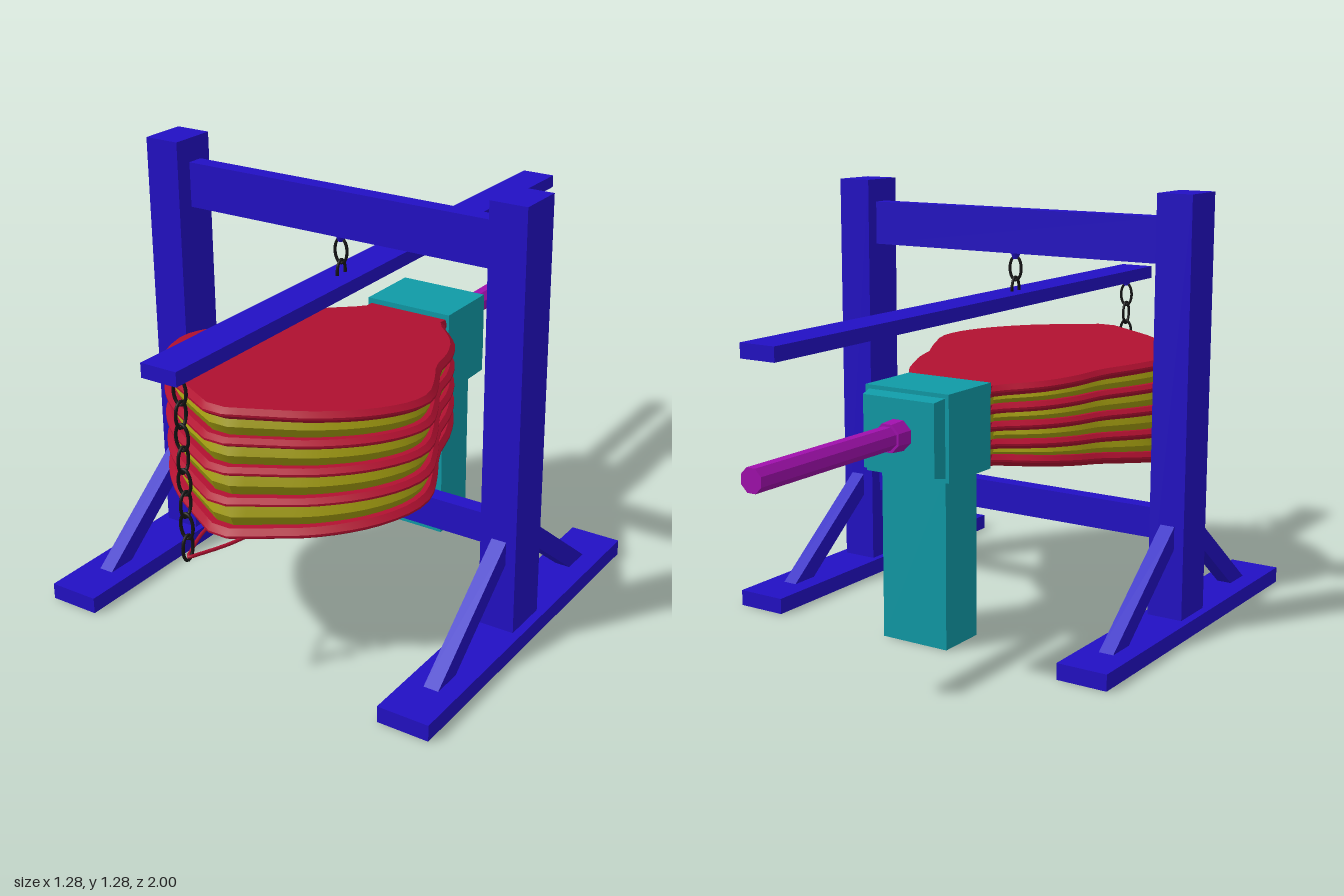
import * as THREE from 'three';
import { toCreasedNormals } from 'three/addons/utils/BufferGeometryUtils.js';

const mat = (color) => new THREE.MeshStandardMaterial({ color });
const BLUE = mat(0x2210c4), TEAL = mat(0x109aa6), RED = mat(0xb01030);
const YELLOW = mat(0xa09a10), MAGENTA = mat(0xa010ac), BLACK = mat(0x141414);

function add(parent, name, geometry, material) {
  const mesh = new THREE.Mesh(geometry, material);
  mesh.name = name;
  parent.add(mesh);
  return mesh;
}

// Box given by its extents on each axis
function box(parent, name, material, [x0, x1], [y0, y1], [z0, z1]) {
  const g = new THREE.BoxGeometry(x1 - x0, y1 - y0, z1 - z0);
  g.translate((x0 + x1) / 2, (y0 + y1) / 2, (z0 + z1) / 2);
  return add(parent, name, g, material);
}

// Pear-shaped outline of the bellows, seen from above: [x, z]
function bellowsOutline() {
  const half = [[0.135, -0.17], [0.137, -0.12], [0.175, -0.08], [0.245, 0], [0.292, 0.1], [0.318, 0.2],
    [0.37, 0.3], [0.41, 0.4], [0.403, 0.48], [0.345, 0.585], [0.235, 0.69], [0.12, 0.757], [0.03, 0.805]];
  const curve = new THREE.CatmullRomCurve3(half.map(([x, z]) => new THREE.Vector3(x, 0, z)));
  const right = curve.getSpacedPoints(30).map((p) => [p.x, p.z]);
  const left = right.map(([x, z]) => [-x, z]).reverse();
  return [...right, ...left];
}

// Stack of scaled outlines, bottom to top, closed by strips; layer = [scale, height(z)]
function loft(outline, layers) {
  const n = outline.length, pos = [], index = [];
  for (const [s, height] of layers) {
    for (const [x, z] of outline) {
      const pz = 0.35 + (z - 0.35) * s;
      pos.push(x * s, height(pz), pz);
    }
  }
  for (let l = 0; l < layers.length - 1; l++) {
    for (let i = 0; i < n; i++) {
      const j = (i + 1) % n;
      const a = l * n + i, b = l * n + j, c = b + n, d = a + n;
      index.push(a, d, c, a, c, b);
    }
  }
  const top = (layers.length - 1) * n;
  for (let i = 0; i < n / 2 - 1; i++) {
    const a = i, b = n - 1 - i, c = n - 2 - i, d = i + 1;
    index.push(top + a, top + b, top + c, top + a, top + c, top + d);
    index.push(a, c, b, a, d, c);
  }
  const g = new THREE.BufferGeometry();
  g.setAttribute('position', new THREE.Float32BufferAttribute(pos, 3));
  g.setIndex(index);
  return toCreasedNormals(g, 0.45);
}

// Hanging chain of oval links, alternately turned by a quarter
function chain(parent, name, topY, count, z) {
  const group = new THREE.Group();
  group.name = name;
  const oval = [];
  for (let i = 0; i < 16; i++) {
    const a = (i / 16) * Math.PI * 2;
    oval.push(new THREE.Vector3(0.02 * Math.cos(a), 0.036 * Math.sin(a), 0));
  }
  const link = new THREE.TubeGeometry(new THREE.CatmullRomCurve3(oval, true), 28, 0.0045, 8, true);
  for (let i = 0; i < count; i++) {
    const m = add(group, 'chainLink', link, BLACK);
    m.position.set(0, topY - i * 0.0625, z);
    m.rotation.y = (i % 2) * Math.PI / 2;
  }
  parent.add(group);
}

export function createModel() {
  const model = new THREE.Group();
  model.name = 'forgeBellows';

  // Frame: a post, foot and two braces on each side
  for (const side of [-1, 1]) {
    const stand = new THREE.Group();
    stand.name = side > 0 ? 'leftStand' : 'rightStand';
    const span = (a, b) => (side > 0 ? [a, b] : [-b, -a]);
    box(stand, 'post', BLUE, span(0.505, 0.615), [0, 1.28], [0.15, 0.293]);
    box(stand, 'foot', BLUE, span(0.485, 0.64), [0, 0.048], [-0.34, 0.785]);
    for (const dir of [-1, 1]) {
      const pts = [[0.435, 0.04], [0.06, 0.335], [0.06, 0.265], [0.345, 0.04]];
      const shape = new THREE.Shape(pts.map(([z, y]) => new THREE.Vector2(0.22 + dir * z, y)));
      const g = new THREE.ExtrudeGeometry(shape, { depth: 0.045, bevelEnabled: false });
      g.translate(0, 0, -0.0225).rotateY(-Math.PI / 2).translate(side * 0.5625, 0, 0);
      add(stand, 'brace', g, BLUE);
    }
    model.add(stand);
  }
  box(model, 'topBeam', BLUE, [-0.51, 0.51], [1.077, 1.21], [0.19, 0.24]);
  box(model, 'lowerBeam', BLUE, [-0.51, 0.51], [0.27, 0.362], [0.19, 0.24]);
  box(model, 'lever', BLUE, [-0.055, 0.055], [0.922, 0.962], [-0.965, 1]);

  // Chains and the small studs they hang from
  for (const [y, z] of [[1.07, 0.215], [0.913, 0.925]]) {
    add(model, 'chainStud', new THREE.CylinderGeometry(0.017, 0.009, 0.024, 10).translate(0, y, z), BLUE);
  }
  chain(model, 'upperChain', 1.03, 2, 0.215);
  chain(model, 'leverChain', 0.87, 8, 0.925);

  // Bellows: boards fanning out towards the front, with leather folds between
  const outline = bellowsOutline();
  const backY = [0.52, 0.565, 0.615, 0.665, 0.717];
  const frontY = [0.415, 0.51, 0.6, 0.685, 0.767];
  const board = (i, dy = 0) => (z) => THREE.MathUtils.lerp(backY[i], frontY[i], (z + 0.14) / 0.94) + dy;
  const between = (i, t) => (z) => THREE.MathUtils.lerp(board(i)(z), board(i + 1)(z), t);
  const bellows = new THREE.Group();
  bellows.name = 'bellows';
  for (let i = 0; i < 5; i++) {
    const h = i === 0 || i === 4 ? 0.017 : 0.014;
    add(bellows, 'bellowsBoard', loft(outline, [
      [0.955, board(i, -h)], [1, board(i, -0.003)], [1, board(i, 0.003)], [0.965, board(i, h)],
    ]), RED);
    if (i < 4) {
      add(bellows, 'leatherFold', loft(outline, [
        [0.915, between(i, 0.08)], [0.935, between(i, 0.3)], [0.952, between(i, 0.5)],
        [0.935, between(i, 0.7)], [0.915, between(i, 0.92)],
      ]), YELLOW);
    }
  }
  // Bent wire joining the bottom board to the chain
  const wire = [[-0.06, 0.76], [-0.045, 0.82], [-0.015, 0.895], [0, 0.925], [0.015, 0.895], [0.045, 0.82], [0.06, 0.76]];
  const wirePath = new THREE.CatmullRomCurve3(wire.map(([x, z]) => new THREE.Vector3(x, 0.405, z)));
  add(bellows, 'pullWire', new THREE.TubeGeometry(wirePath, 32, 0.005, 8), RED);
  model.add(bellows);

  // Pedestal with the nozzle block and its tapered back plate
  box(model, 'pedestal', TEAL, [-0.11, 0.11], [0, 0.51], [-0.32, -0.165]);
  box(model, 'nozzleBlock', TEAL, [-0.142, 0.142], [0.5, 0.75], [-0.35, -0.14]);
  const plate = new THREE.CylinderGeometry(0.121 * Math.SQRT2, 0.131 * Math.SQRT2, 0.045, 4, 1);
  plate.rotateY(Math.PI / 4).rotateX(-Math.PI / 2).scale(1, 0.87, 1).translate(0, 0.625, -0.3675);
  add(model, 'backPlate', plate.toNonIndexed(), TEAL).geometry.computeVertexNormals();

  // Octagonal air pipe and collar
  const pipe = (name, rFront, rBack, z0, z1) => {
    const g = new THREE.CylinderGeometry(rBack, rFront, z0 - z1, 8).rotateY(Math.PI / 8).rotateX(-Math.PI / 2);
    const flat = g.translate(0, 0.628, (z0 + z1) / 2).toNonIndexed();
    flat.computeVertexNormals();
    add(model, name, flat, MAGENTA);
  };
  pipe('pipeCollar', 0.047, 0.043, -0.385, -0.443);
  pipe('airPipe', 0.035, 0.035, -0.44, -1);

  return model;
}
